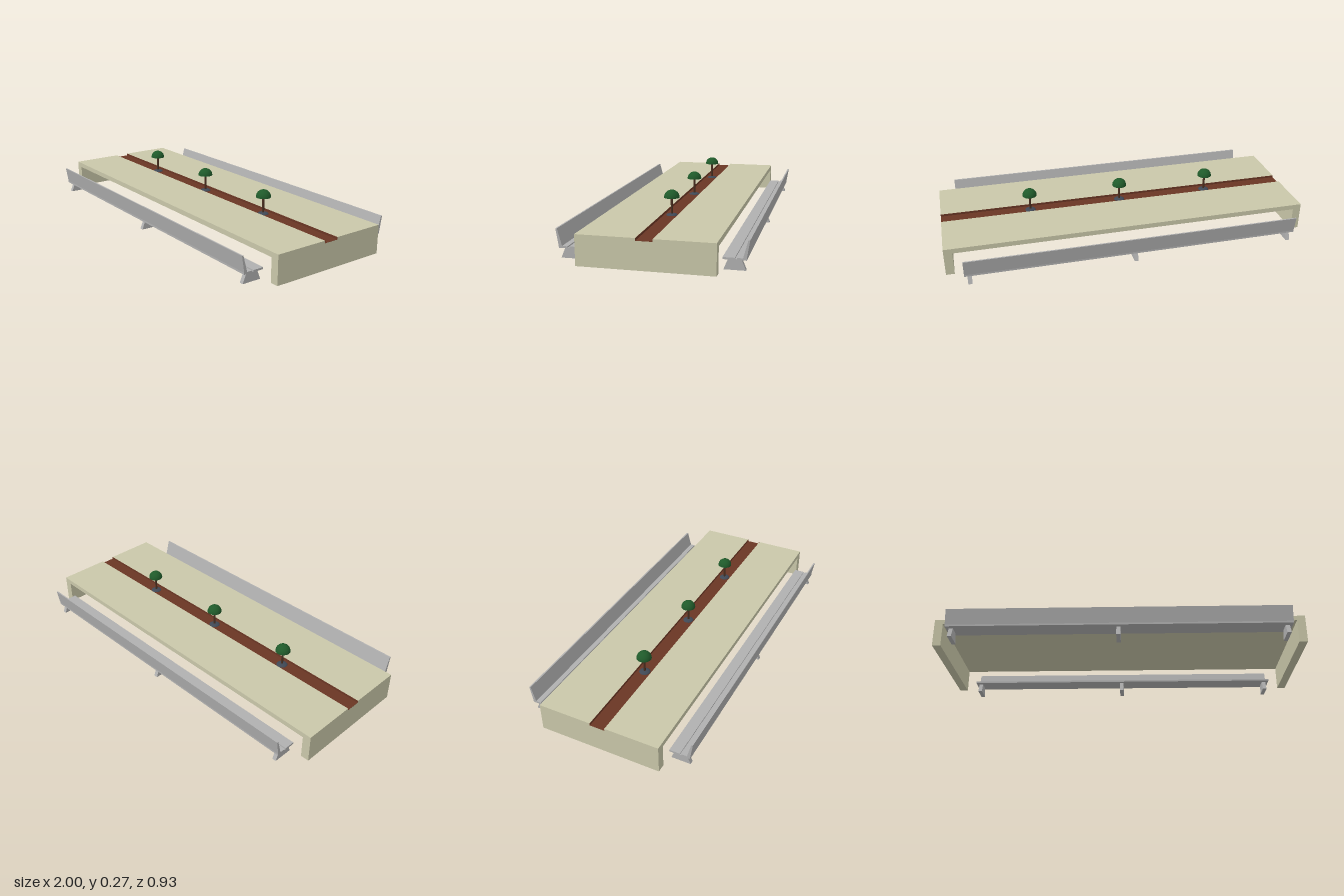
import * as THREE from 'three';

const mat = (color) => new THREE.MeshStandardMaterial({ color });
const cream = mat(0xc9c7a9), soil = mat(0x6a3624), grey = mat(0xb0b0b0);
const bark = mat(0x4a2f20), leaf = mat(0x1f5a2a), slate = mat(0x3f4855);

function add(parent, name, geometry, material, x = 0, y = 0, z = 0) {
  const mesh = new THREE.Mesh(geometry, material);
  mesh.name = name;
  mesh.position.set(x, y, z);
  parent.add(mesh);
  return mesh;
}

// Extrudes a [z, y] outline along x, centred on x = 0.
function profileAlongX(points, length) {
  const shape = new THREE.Shape(points.map(([z, y]) => new THREE.Vector2(-z, y)));
  const geometry = new THREE.ExtrudeGeometry(shape, { depth: length, bevelEnabled: false });
  return geometry.translate(0, 0, -length / 2).rotateY(Math.PI / 2);
}

// Table: full-length top with a planting channel, on two solid end panels
function createTable() {
  const table = new THREE.Group();
  table.name = 'table';
  const top = 0.153, floor = 0.14, under = 0.126, half = 0.332, channel = 0.041;
  add(table, 'tableTop', profileAlongX([
    [-half, under], [half, under], [half, top], [channel, top],
    [channel, floor], [-channel, floor], [-channel, top], [-half, top],
  ], 2), cream);
  for (const s of [-1, 1]) {
    add(table, 'endPanel', new THREE.BoxGeometry(0.045, under, half * 2), cream, s * 0.9775, under / 2);
    add(table, 'channelSide', new THREE.BoxGeometry(2, top - floor, 0.001), soil,
      0, (top + floor) / 2, s * (channel - 0.0005));
  }
  add(table, 'channelFloor', new THREE.BoxGeometry(2, 0.001, channel * 2), soil, 0, floor + 0.0005);
  return table;
}

// Small domed tree on a low mound
function createTree(x) {
  const tree = new THREE.Group();
  tree.name = 'tree';
  tree.position.set(x, 0.14, 0);
  const mound = new THREE.SphereGeometry(0.03, 24, 6, 0, Math.PI * 2, 0, Math.PI / 2);
  add(tree, 'mound', mound.scale(1, 0.33, 1), slate);
  add(tree, 'trunk', new THREE.CylinderGeometry(0.006, 0.006, 0.095, 16), bark, 0, 0.0475);
  add(tree, 'crown', new THREE.SphereGeometry(0.04, 28, 10, 0, Math.PI * 2, 0, Math.PI / 2), leaf, 0, 0.093);
  add(tree, 'crownBase', new THREE.CircleGeometry(0.04, 28).rotateX(Math.PI / 2), leaf, 0, 0.093);
  return tree;
}

// Bench with a grooved seat, a leaning back and three splayed feet
function createBench() {
  const bench = new THREE.Group();
  bench.name = 'bench';
  const length = 1.816;
  add(bench, 'seatAndBack', profileAlongX([
    [0.34, 0.053], [0.451, 0.053], [0.451, 0.063], [0.465, 0.148], [0.457, 0.148],
    [0.434, 0.063], [0.406, 0.063], [0.406, 0.057], [0.397, 0.057], [0.397, 0.063], [0.34, 0.063],
  ], length), grey);
  for (const x of [-0.881, 0, 0.881]) {
    add(bench, 'foot', profileAlongX([
      [0.342, 0], [0.446, 0], [0.424, 0.053], [0.363, 0.053],
    ], 0.022), grey, x);
  }
  return bench;
}

export function createModel() {
  const model = new THREE.Group();
  model.name = 'picnicTable';
  model.add(createTable());
  for (const x of [-0.532, -0.014, 0.504]) model.add(createTree(x));
  const front = createBench(), back = createBench();
  front.name = 'frontBench';
  back.name = 'backBench';
  back.rotation.y = Math.PI;
  model.add(front, back);
  return model;
}
